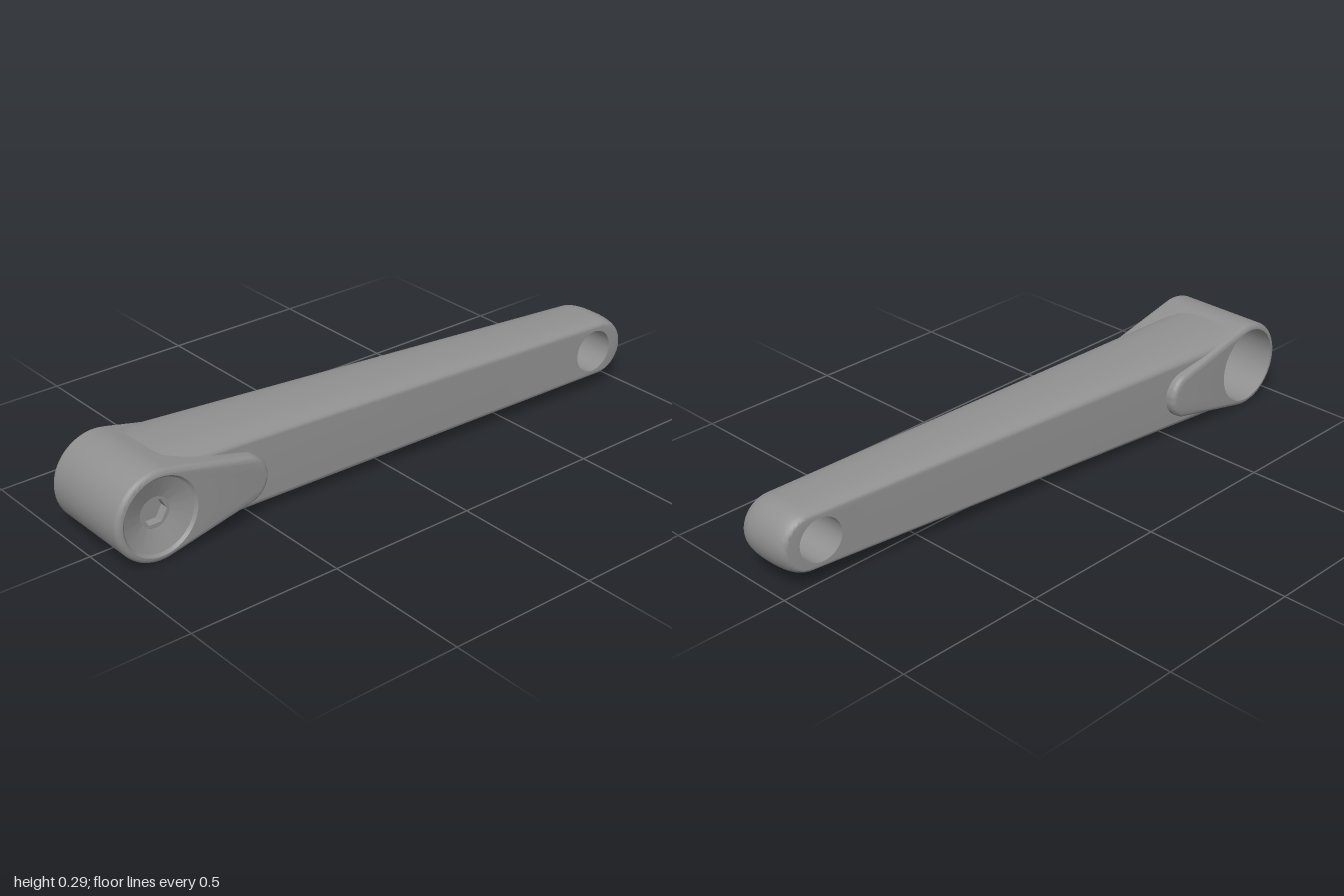
import * as THREE from 'three';
import { mergeGeometries, toCreasedNormals } from 'three/addons/utils/BufferGeometryUtils.js';

// Local frame: X runs along the arm (hub -, pedal end +), Y is up, Z goes through the holes.
const HUB_X = -0.853, HUB_R = 0.147, BORE_R = 0.127;
const PEDAL_X = 0.895, PEDAL_R = 0.105, EYE_X = 0.865, EYE_R = 0.072;
const FACE_L = -0.187, FACE_R = 0.157;

const metal = new THREE.MeshStandardMaterial({ color: 0x909090, side: THREE.DoubleSide });
metal.name = 'grey metal';

function arc(cx, r, from, to, n) {
  return Array.from({ length: n + 1 }, (_, i) => {
    const a = from + (to - from) * i / n;
    return new THREE.Vector2(cx + r * Math.cos(a), r * Math.sin(a));
  });
}

// Outline around two circles joined by tangents; baseX cuts it open before the first circle.
function outline(x1, r1, x2, r2, baseX) {
  const t = Math.acos((r1 - r2) / (x2 - x1));
  const tip = arc(x2, r2, -t, t, 28);
  if (baseX === undefined) return [...tip, ...arc(x1, r1, t, 2 * Math.PI - t, 40)];
  const h = (r1 - Math.cos(t) * (baseX - x1)) / Math.sin(t);
  return [new THREE.Vector2(baseX, -h), ...tip, new THREE.Vector2(baseX, h)];
}

// Skin through rings of equal point count, plus flat end faces pierced by a round hole.
function loft(rings, closed, holeX, holeR) {
  const n = rings[0].points.length, pos = [], idx = [];
  rings.forEach(({ points, z }) => points.forEach(p => pos.push(p.x, p.y, z)));
  for (let k = 0; k < rings.length - 1; k++) {
    for (let i = 0; i < (closed ? n : n - 1); i++) {
      const a = k * n + i, b = k * n + (i + 1) % n;
      idx.push(a, b, b + n, a, b + n, a + n);
    }
  }
  const skin = new THREE.BufferGeometry();
  skin.setAttribute('position', new THREE.Float32BufferAttribute(pos, 3));
  skin.setIndex(idx);
  const parts = [skin.toNonIndexed()];
  [rings[0], rings[rings.length - 1]].forEach(({ points, z }, end) => {
    const shape = new THREE.Shape(points);
    shape.holes.push(new THREE.Path(arc(holeX, holeR, 0, -2 * Math.PI, 48).slice(0, -1)));
    const cap = new THREE.ShapeGeometry(shape);
    if (end === 0) cap.setIndex(Array.from(cap.index.array).reverse());
    cap.translate(0, 0, z);
    const flat = cap.toNonIndexed();
    flat.deleteAttribute('normal');
    flat.deleteAttribute('uv');
    parts.push(flat);
  });
  return mergeGeometries(parts);
}

// Spreads Z from -1..1 over the arm's slanted, tapering width.
function warpArm(geo) {
  const p = geo.attributes.position;
  for (let i = 0; i < p.count; i++) {
    const x = p.getX(i);
    const left = -0.15 + 0.1037 * (x + 0.45), right = 0.12 + 0.0475 * (x + 0.47);
    p.setZ(i, THREE.MathUtils.lerp(left, right, (p.getZ(i) + 1) / 2));
  }
  return geo;
}

function tube(r, z0, z1, sides = 48) {
  return new THREE.CylinderGeometry(r, r, z1 - z0, sides, 1, true)
    .rotateX(Math.PI / 2).translate(0, 0, (z0 + z1) / 2);
}

export function createModel() {
  const group = new THREE.Group();
  group.name = 'crankArm';
  const frame = new THREE.Group();
  frame.name = 'crankFrame';
  frame.rotation.y = Math.PI / 2;
  frame.position.y = HUB_R;
  group.add(frame);
  const add = (name, geo, x = 0, z = 0) => {
    const mesh = new THREE.Mesh(geo, metal);
    mesh.name = name;
    mesh.position.set(x, 0, z);
    frame.add(mesh);
  };

  // Hub: teardrop block with rounded rims
  const hubRings = [], bevel = 0.018, steps = 5;
  for (let side = 0; side < 2; side++) {
    for (let i = 0; i <= steps; i++) {
      const a = (side ? i : steps - i) / steps * Math.PI / 2;
      const inset = bevel * (1 - Math.cos(a)), out = bevel * (1 - Math.sin(a));
      hubRings.push({
        points: outline(HUB_X, HUB_R - inset, -0.55, 0.08 - inset),
        z: side ? FACE_R - out : FACE_L + out,
      });
    }
  }
  add('hub', toCreasedNormals(loft(hubRings, true, HUB_X, BORE_R), 0.6));

  // Arm: crowned top and bottom, rounded pedal end, open base hidden in the hub
  const armRings = [];
  for (let i = 0; i <= 20; i++) {
    const u = Math.sin((i / 20 - 0.5) * Math.PI);
    const drop = 1 - Math.sqrt(Math.max(0, 1 - Math.abs(u) ** 2.5));
    const baseX = -0.72 - 0.08 * (1 - drop);
    armRings.push({
      points: outline(HUB_X, HUB_R - 0.045 * drop, PEDAL_X, PEDAL_R - 0.022 * drop, baseX),
      z: u,
    });
  }
  add('arm', toCreasedNormals(warpArm(loft(armRings, false, EYE_X, EYE_R)), 0.6));

  // Pedal eye wall
  const eye = warpArm(tube(EYE_R, -1, 1).translate(EYE_X, 0, 0));
  add('pedalEye', eye);

  // Spindle bore and its floor
  const floorZ = 0.08;
  add('spindleBore', tube(BORE_R, FACE_L, floorZ), HUB_X);
  add('boreFloor', new THREE.CircleGeometry(BORE_R, 48).rotateY(Math.PI), HUB_X, floorZ);

  // Dished bolt cap with a hexagonal socket
  const dishZ = 0.124, socketR = 0.042;
  const dish = new THREE.LatheGeometry([
    new THREE.Vector2(0.05, dishZ), new THREE.Vector2(0.119, 0.148), new THREE.Vector2(BORE_R, FACE_R),
  ], 48).rotateX(Math.PI / 2);
  add('boltDish', toCreasedNormals(dish, 0.3), HUB_X);
  const seat = new THREE.Shape(arc(0, 0.05, 0, 2 * Math.PI, 48).slice(0, -1));
  seat.holes.push(new THREE.Path(arc(0, socketR, 0, -2 * Math.PI, 6).slice(0, -1)));
  add('boltSeat', new THREE.ShapeGeometry(seat), HUB_X, dishZ);
  const socket = toCreasedNormals(tube(socketR, 0.095, dishZ, 6).rotateZ(Math.PI / 2), 0.3);
  add('hexSocket', socket, HUB_X);
  add('socketFloor', new THREE.CircleGeometry(socketR, 6), HUB_X, 0.095);

  return group;
}
